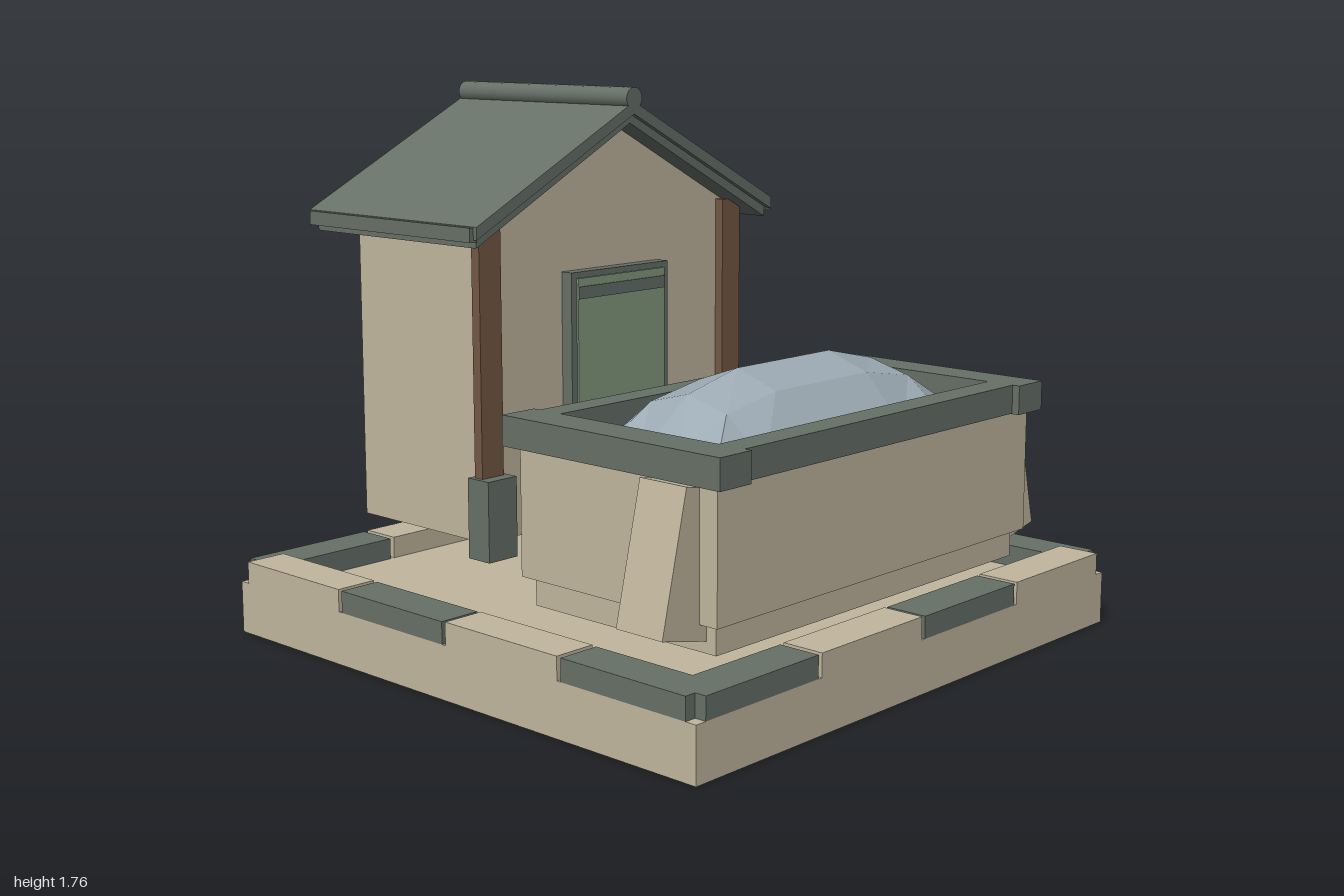
import * as THREE from 'three';

const mat = (name, color) => Object.assign(new THREE.MeshStandardMaterial({ color }), { name });

export function createModel() {
  const root = new THREE.Group();
  root.name = 'shrineWithBasin';
  const stone = mat('sandstone', 0xc2b79e);
  const slate = mat('darkSlate', 0x667067);
  const wood = mat('wood', 0x745844);
  const glass = mat('greenPane', 0x84997f);
  const water = mat('water', 0x9dabb4);
  water.flatShading = true;
  water.side = THREE.DoubleSide;

  const add = (name, geo, m, parent = root) => {
    const mesh = new THREE.Mesh(geo, m);
    mesh.name = name;
    parent.add(mesh);
    return mesh;
  };
  // Box given by its extents on each axis
  const box = (name, m, x0, x1, y0, y1, z0, z1) => {
    const b = add(name, new THREE.BoxGeometry(x1 - x0, y1 - y0, z1 - z0), m);
    b.position.set((x0 + x1) / 2, (y0 + y1) / 2, (z0 + z1) / 2);
    return b;
  };
  // Outline in x and y, extruded from z0 to z1
  const prism = (name, m, pts, z0, z1) => {
    const shape = new THREE.Shape(pts.map(([x, y]) => new THREE.Vector2(x, y)));
    const geo = new THREE.ExtrudeGeometry(shape, { depth: z1 - z0, bevelEnabled: false });
    return add(name, geo.translate(0, 0, z0), m);
  };

  // Base slab with alternating kerb stones on all four sides
  box('baseSlab', stone, -1, 1, 0, 0.17, -1, 1);
  for (let i = 0; i < 4; i++) {
    const c = -0.7275 + i * 0.485, a = c - 0.235, b = c + 0.235;
    for (const s of [-1, 1]) {
      const lo = s < 0 ? -1 : 0.86, hi = s < 0 ? -0.86 : 1;
      const mx = i % 2 ? stone : slate, mz = i % 2 ? slate : stone;
      box('kerbAlongX', mx, a, b, 0.17, mx === stone ? 0.242 : 0.24, lo, hi);
      box('kerbAlongZ', mz, lo, hi, 0.17, mz === stone ? 0.242 : 0.24, a, b);
    }
  }

  // Basin: plinth, body and raised rim
  box('basinPlinth', stone, -0.72, 0.72, 0.25, 0.34, 0.10, 0.82);
  box('basinBody', stone, -0.75, 0.75, 0.34, 0.738, 0.07, 0.85);
  box('basinRimFront', slate, -0.65, 0.65, 0.738, 0.83, 0.765, 0.86);
  box('basinRimBack', slate, -0.65, 0.65, 0.738, 0.83, 0.05, 0.14);
  for (const s of [-1, 1]) {
    box('basinRimSide', slate, s * 0.715 - 0.065, s * 0.715 + 0.065, 0.736, 0.83, 0.025, 0.885);
    // Leaning buttress
    const pts = [[0.72, 0.285], [0.90, 0.325], [0.803, 0.738], [0.625, 0.7]].map(([x, y]) => [s * x, y]);
    prism('basinButtress', stone, pts, 0.61, 0.785);
  }

  // Faceted mound of water
  const mound = new THREE.PlaneGeometry(1.31, 0.6, 6, 4).rotateX(-Math.PI / 2);
  const fx = [0, 0.76, 1, 1, 1, 0.76, 0], fz = [0, 0.75, 1, 0.75, 0];
  const p = mound.attributes.position;
  for (let i = 0; i < p.count; i++) p.setY(i, 0.21 * fx[i % 7] * fz[Math.floor(i / 7)]);
  mound.computeVertexNormals();
  add('waterMound', mound, water).position.set(0, 0.74, 0.455);

  // House walls with gables
  prism('houseWalls', stone,
    [[-0.57, 0.34], [0.57, 0.34], [0.57, 1.35], [0, 1.65], [-0.57, 1.35]], -0.885, -0.29);

  // Roof: two chevron layers, eave strips and a ridge roll
  const chevron = (name, w, top, eave, t, z0, z1) => prism(name, slate,
    [[0, top], [-w, eave], [-w, eave - t], [0, top - t], [w, eave - t], [w, eave]], z0, z1);
  chevron('roofTiles', 0.685, 1.715, 1.362, 0.04, -0.995, -0.18);
  chevron('roofUnderlay', 0.67, 1.68, 1.33, 0.035, -0.97, -0.2);
  for (const s of [-1, 1]) {
    box('eaveStrip', slate, s * 0.685 - 0.015, s * 0.685 + 0.015, 1.315, 1.36, -0.975, -0.195);
  }
  const ridge = add('ridgeRoll', new THREE.CylinderGeometry(0.036, 0.036, 0.81, 16).rotateX(Math.PI / 2), slate);
  ridge.position.set(0, 1.725, -0.585);

  // Front posts with stone shoes
  for (const s of [-1, 1]) {
    const x = s * 0.563;
    box('post', wood, x - 0.045, x + 0.045, 0.34, 1.36, -0.293, -0.258);
    box('postShoe', slate, x - 0.06, x + 0.06, 0.3, 0.56, -0.31, -0.215);
  }

  // Doorway: frame bars around a pane, with a dark band near the top
  box('doorBack', slate, -0.225, 0.225, 0.4, 1.175, -0.29, -0.254);
  for (const s of [-1, 1]) {
    box('doorJamb', slate, s * 0.214 - 0.012, s * 0.214 + 0.012, 0.4, 1.175, -0.26, -0.245);
  }
  box('doorHead', slate, -0.225, 0.225, 1.155, 1.175, -0.26, -0.245);
  box('doorPane', glass, -0.202, 0.202, 0.4, 1.155, -0.255, -0.238);
  box('doorBand', slate, -0.202, 0.202, 1.088, 1.128, -0.239, -0.234);

  return root;
}
